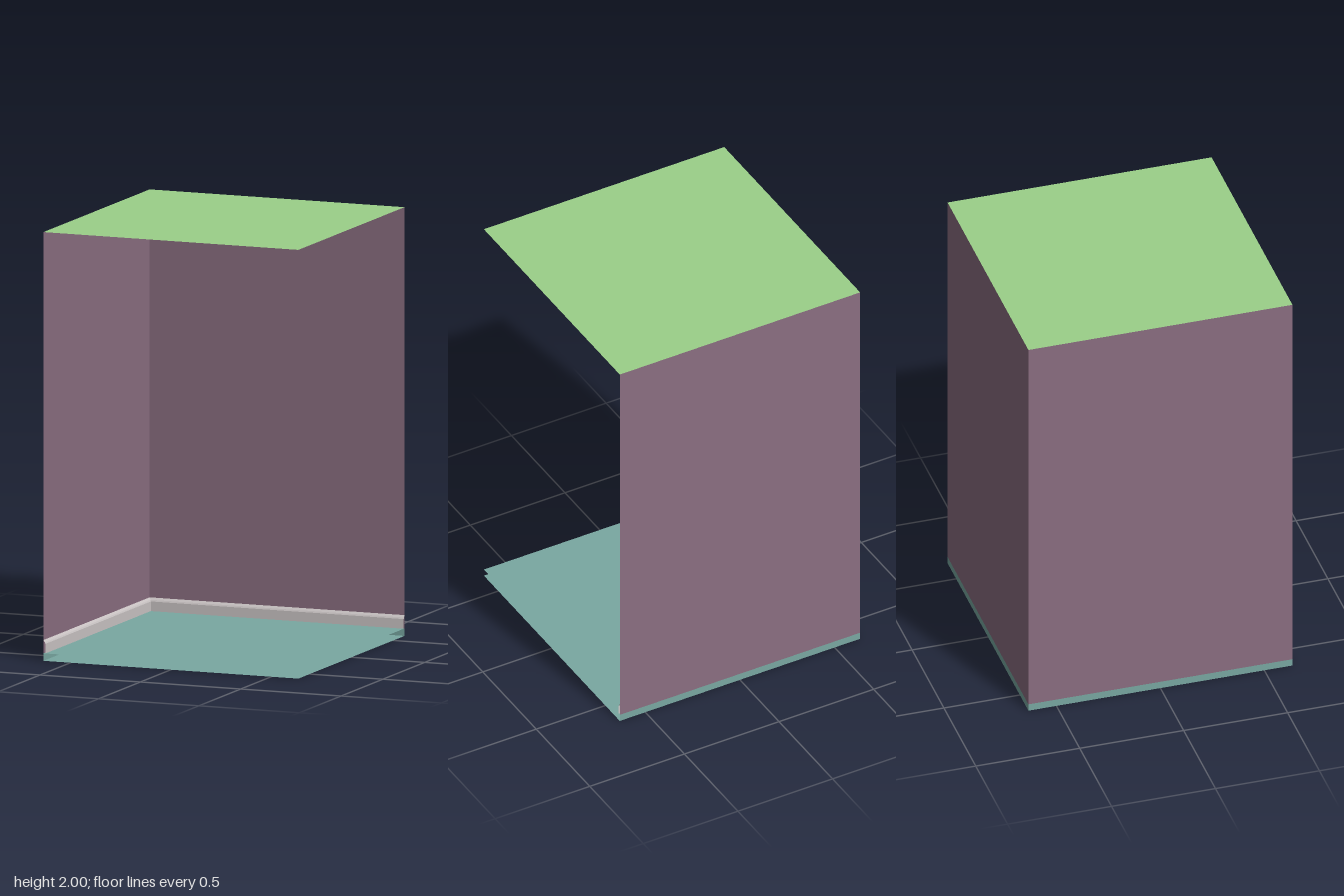
import * as THREE from 'three';

const H = 0.635;      // half width of the room
const FLOOR = 0.035;  // floor surface height
const TOP = 2;        // ceiling height

const paint = (color) => new THREE.MeshStandardMaterial({ color, side: THREE.DoubleSide, flatShading: true });
const wallPaint = paint(0x8b6e81);
const floorPaint = paint(0x79a8a2);
const ceilingPaint = paint(0x9bd089);
const skirtingPaint = paint(0xccc6c6);

function add(parent, name, geometry, material) {
  const mesh = new THREE.Mesh(geometry, material);
  mesh.name = name;
  parent.add(mesh);
  return mesh;
}

// Horizontal square sheet filling the room's plan
function slab(parent, name, y, material, up) {
  const g = new THREE.PlaneGeometry(2 * H, 2 * H).rotateX(up ? -Math.PI / 2 : Math.PI / 2);
  add(parent, name, g, material).position.y = y;
}

// Upright sheet along the back edge of the room
function upright(parent, name, y0, y1, material) {
  const g = new THREE.PlaneGeometry(2 * H, y1 - y0);
  add(parent, name, g, material).position.set(0, (y0 + y1) / 2, -H);
}

// Skirting board swept along the back wall, mitred at the inner corner
// (side = -1 puts the corner at -x, side = 1 at +x)
function skirting(side) {
  const profile = [[0.01, FLOOR], [0.01, 0.08], [0.007, 0.087], [0, 0.097]];
  const positions = [];
  for (let i = 0; i < profile.length - 1; i++) {
    const [d0, y0] = profile[i];
    const [d1, y1] = profile[i + 1];
    const left = (d) => (side < 0 ? -H + d : -H);
    const right = (d) => (side > 0 ? H - d : H);
    const a = [left(d0), y0, -H + d0], b = [right(d0), y0, -H + d0];
    const c = [right(d1), y1, -H + d1], e = [left(d1), y1, -H + d1];
    positions.push(...a, ...b, ...c, ...a, ...c, ...e);
  }
  const g = new THREE.BufferGeometry();
  g.setAttribute('position', new THREE.Float32BufferAttribute(positions, 3));
  g.computeVertexNormals();
  return g;
}

export function createModel() {
  const room = new THREE.Group();
  room.name = 'roomCorner';

  // Floor and ceiling
  slab(room, 'floorTop', FLOOR, floorPaint, true);
  slab(room, 'floorUnderside', 0, floorPaint, false);
  slab(room, 'ceiling', TOP, ceilingPaint, true);

  // Back wall and right wall, each with its skirting and floor edge
  for (const [name, turn, corner] of [['back', 0, -1], ['right', Math.PI / 2, 1]]) {
    const side = new THREE.Group();
    side.name = name + 'Side';
    side.rotation.y = turn;
    upright(side, name + 'Wall', FLOOR, TOP, wallPaint);
    upright(side, name + 'FloorEdge', 0, FLOOR, floorPaint);
    add(side, name + 'Skirting', skirting(corner), skirtingPaint);
    room.add(side);
  }
  return room;
}
